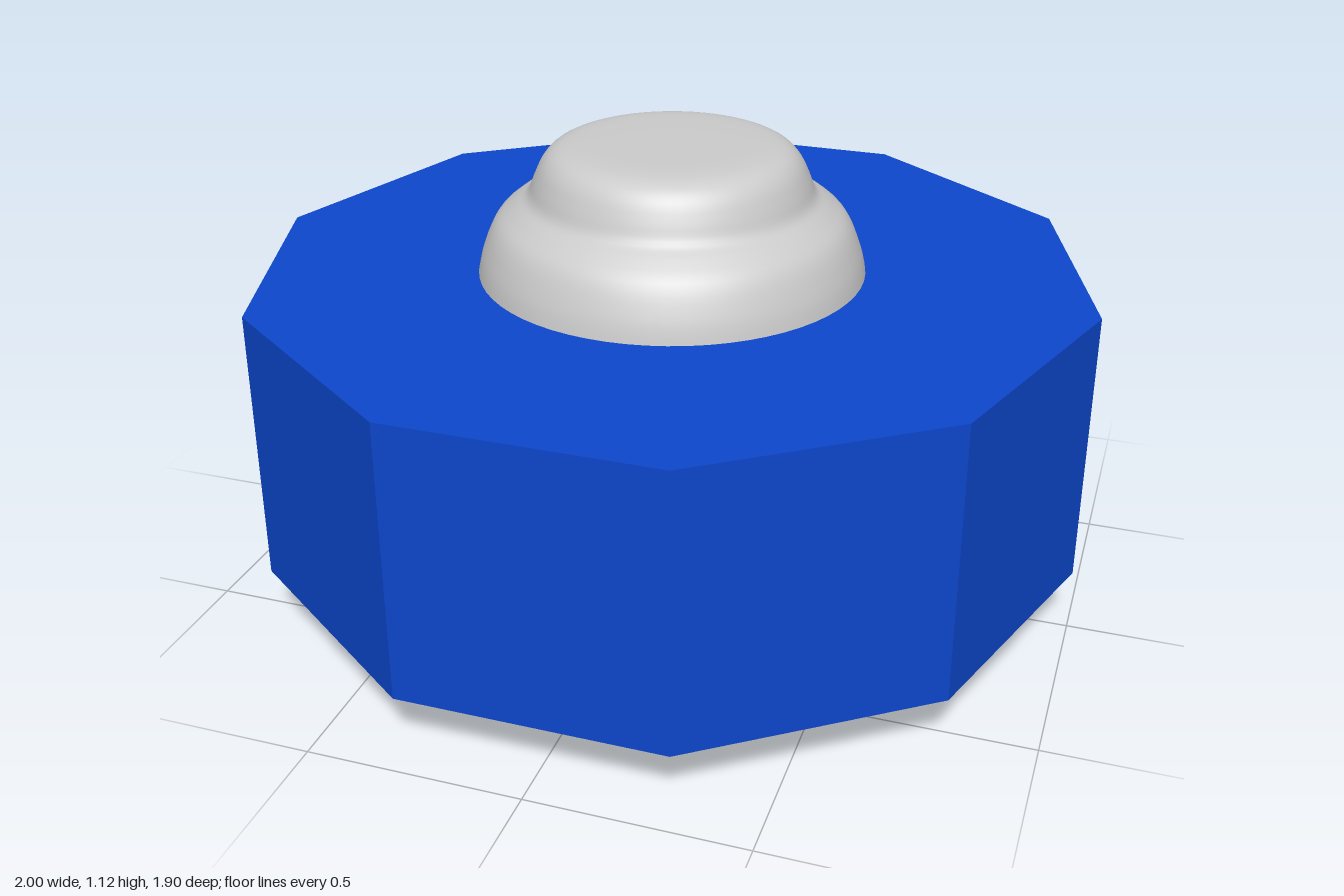
import * as THREE from 'three';

const vec = ([x, y]) => new THREE.Vector2(x, y);

export function createModel() {
  const model = new THREE.Group();

  // Ten-sided collar with a corner pointing along +x
  const collar = new THREE.Mesh(
    new THREE.CylinderGeometry(1, 1, 0.66, 10, 1, false, Math.PI / 2),
    new THREE.MeshStandardMaterial({ color: 0x0d47cc, flatShading: true })
  );
  collar.name = 'collar';
  collar.position.y = 0.48;
  model.add(collar);

  // Smooth core: hollowed foot, bulging body, stepped domed top
  const outline = new THREE.SplineCurve([
    [0, 0.11], [0.12, 0.11], [0.22, 0.105], [0.275, 0.085], [0.31, 0.04], [0.335, 0.012], [0.365, 0.001],
    [0.39, 0.004], [0.415, 0.025], [0.435, 0.07], [0.455, 0.15],
    [0.475, 0.3], [0.48, 0.48], [0.475, 0.66], [0.456, 0.81],
    [0.437, 0.88], [0.41, 0.935], [0.37, 0.97], [0.337, 0.995],
    [0.32, 1.035], [0.3, 1.075], [0.27, 1.102], [0.22, 1.114], [0.12, 1.117], [0, 1.117],
  ].map(vec));
  const points = outline.getPoints(90);
  points[0].x = points[points.length - 1].x = 0;

  const core = new THREE.Mesh(
    new THREE.LatheGeometry(points, 64),
    new THREE.MeshStandardMaterial({ color: 0xcccccc })
  );
  core.name = 'core';
  model.add(core);

  return model;
}
